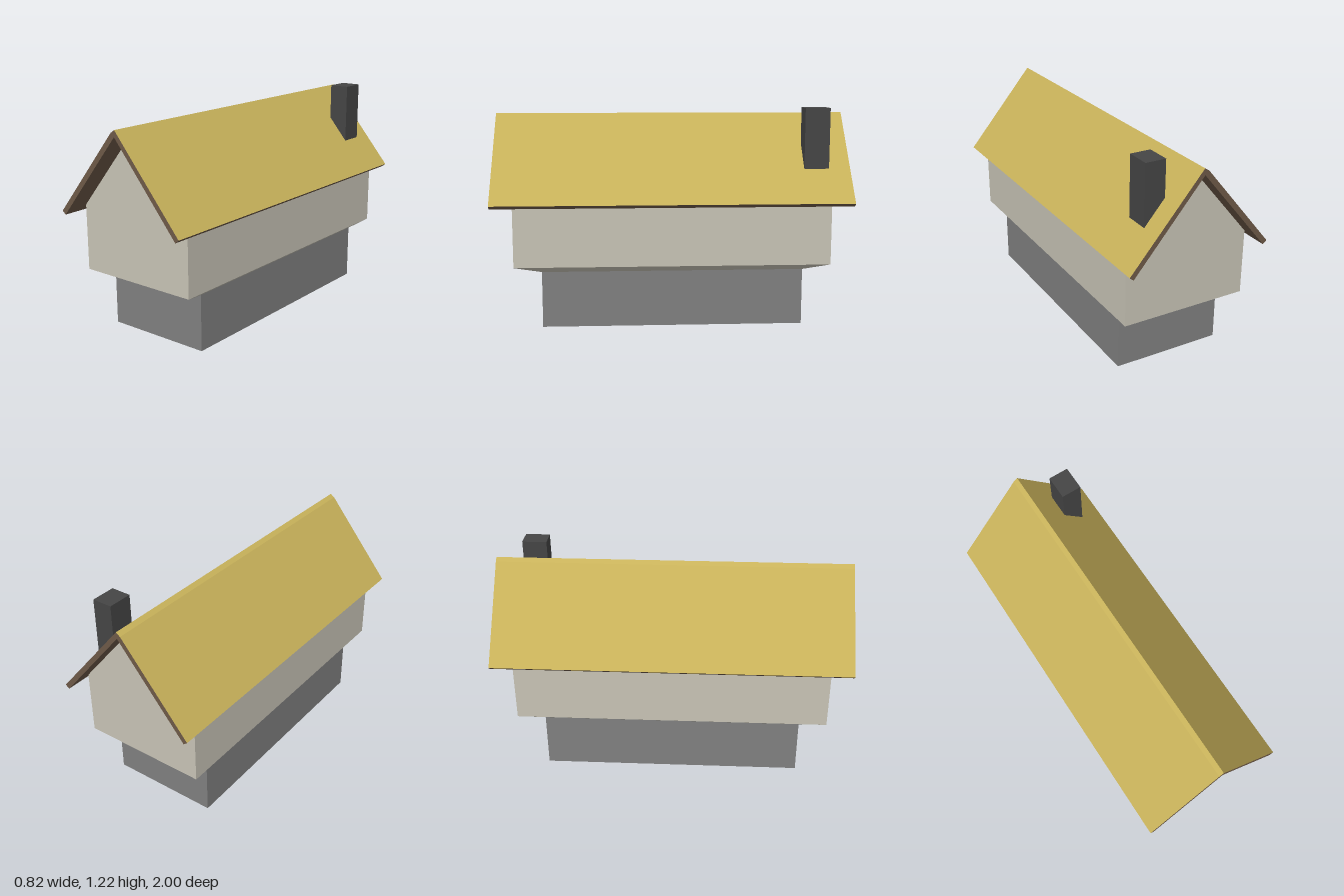
import * as THREE from 'three';

const paint = (name, color) => Object.assign(new THREE.MeshStandardMaterial({ color }), { name });

// Solid with a front-facing outline, running from z0 to z1
function prism(points, z0, z1) {
  const shape = new THREE.Shape(points.map(([x, y]) => new THREE.Vector2(x, y)));
  return new THREE.ExtrudeGeometry(shape, { depth: z1 - z0, bevelEnabled: false }).translate(0, 0, z0);
}

// Flat-faced sheet swept along z; its front is on the left of a polyline read rightwards
function sheet(points, z0, z1) {
  const pos = [];
  for (let i = 0; i < points.length - 1; i++) {
    const [ax, ay] = points[i], [bx, by] = points[i + 1];
    pos.push(ax, ay, z1, bx, by, z1, bx, by, z0, ax, ay, z1, bx, by, z0, ax, ay, z0);
  }
  const g = new THREE.BufferGeometry();
  g.setAttribute('position', new THREE.Float32BufferAttribute(pos, 3));
  g.computeVertexNormals();
  return g;
}

export function createModel() {
  const group = new THREE.Group();
  const stone = paint('stone grey', 0x808080);
  const plaster = paint('pale plaster', 0xc8c4b6);
  const thatch = paint('straw yellow', 0xc8b25a);
  const timber = paint('timber brown', 0x6e5a48);
  const brick = paint('chimney charcoal', 0x454545);
  const add = (name, geometry, material) => {
    const mesh = new THREE.Mesh(geometry, material);
    mesh.name = name;
    group.add(mesh);
  };

  // Stone ground floor
  add('base', new THREE.BoxGeometry(0.622, 0.315, 1.46).translate(0, 0.1575, 0), stone);

  // Overhang flaring out from the base to the upper walls
  const flare = new THREE.BoxGeometry(0.72, 0.035, 1.76);
  const p = flare.attributes.position;
  for (let i = 0; i < p.count; i++) {
    if (p.getY(i) < 0) p.setXYZ(i, Math.sign(p.getX(i)) * 0.311, p.getY(i), Math.sign(p.getZ(i)) * 0.73);
  }
  flare.computeVertexNormals();
  add('overhang', flare.translate(0, 0.3325, 0), plaster);

  // Gabled upper floor
  add('upperWalls', prism([[-0.36, 0.35], [0.36, 0.35], [0.36, 0.716], [0, 1.145], [-0.36, 0.716]], -0.88, 0.88), plaster);

  // Roof: straw on top; timber ends, eaves and underside
  const top = [[-0.41, 0.7], [-0.022, 1.164], [0.003, 1.181], [0.41, 0.7]];
  const under = [[0.388, 0.682], [0, 1.145], [-0.388, 0.682]];
  add('roofCovering', sheet(top, -1, 1), thatch);
  add('roofUnderside', sheet([top[3], ...under, top[0]], -1, 1), timber);
  const endShape = new THREE.Shape([...under, ...top].map(([x, y]) => new THREE.Vector2(x, y)));
  const end = new THREE.ShapeGeometry(endShape);
  add('frontBargeboard', end.clone().translate(0, 0, 1), timber);
  // Mirrored outline turned about y, so it faces backwards
  const backShape = new THREE.Shape([...under, ...top].map(([x, y]) => new THREE.Vector2(-x, y)));
  add('backBargeboard', new THREE.ShapeGeometry(backShape).rotateY(Math.PI).translate(0, 0, -1), timber);

  // Chimney, cut to the roof slope at its foot
  add('chimney', prism([[0.145, 0.998], [0.26, 0.862], [0.26, 1.216], [0.145, 1.216]], -0.88, -0.74), brick);
  return group;
}
